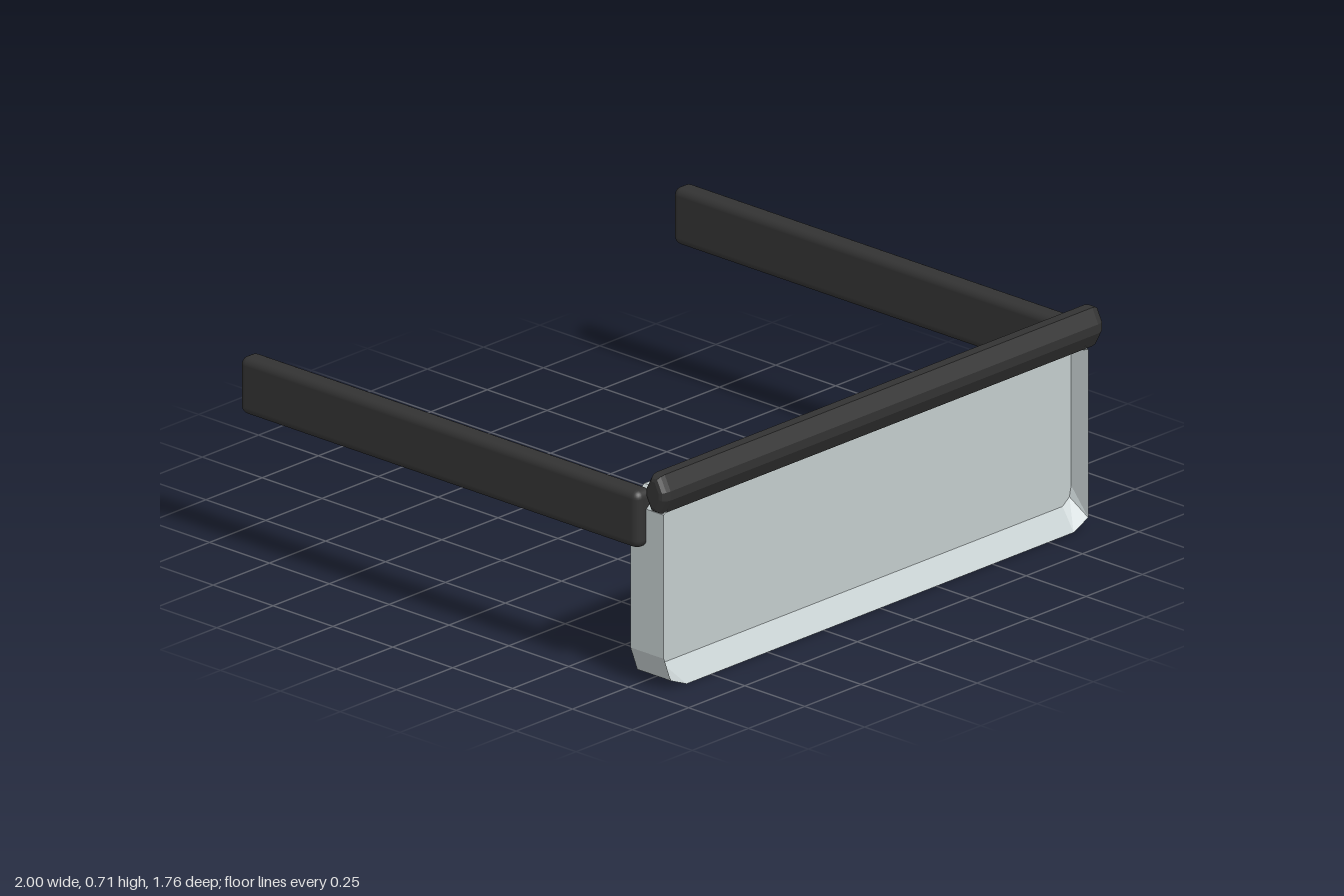
import * as THREE from 'three';
import { RoundedBoxGeometry } from 'three/addons/geometries/RoundedBoxGeometry.js';

// Flat-faced strip joining two closed loops of [x, y] points at two depths
function strip(a, za, b, zb) {
  const pos = [];
  a.forEach((p, i) => {
    const j = (i + 1) % a.length;
    const p0 = [...p, za], p1 = [...a[j], za];
    const q0 = [...b[i], zb], q1 = [...b[j], zb];
    pos.push(...p0, ...p1, ...q1, ...p0, ...q1, ...q0);
  });
  const g = new THREE.BufferGeometry();
  g.setAttribute('position', new THREE.Float32BufferAttribute(pos, 3));
  g.computeVertexNormals();
  return g;
}

export function createModel() {
  const model = new THREE.Group();
  model.name = 'visorGlasses';

  const frameMat = new THREE.MeshStandardMaterial({ color: 0x333333 });
  frameMat.name = 'charcoal frame';
  const lensMat = new THREE.MeshStandardMaterial({ color: 0xc3cccd, side: THREE.DoubleSide });
  lensMat.name = 'pale grey lens';

  function add(parent, name, geometry, material) {
    const mesh = new THREE.Mesh(geometry, material);
    mesh.name = name;
    parent.add(mesh);
    return mesh;
  }

  // Side arms
  for (const [name, side] of [['leftArm', 1], ['rightArm', -1]]) {
    const arm = add(model, name, new RoundedBoxGeometry(0.075, 0.187, 1.665, 3, 0.026), frameMat);
    arm.position.set(side * 0.9625, 0.548, -0.047);
  }

  // Brow bar: faceted section with bevelled ends, extruded along x
  const quarter = [[0.022, 0.01], [0.022, -0.01], [0.005, -0.043], [-0.005, -0.043],
    [-0.022, -0.01], [-0.022, 0.01], [-0.005, 0.043], [0.005, 0.043]];
  const section = new THREE.Shape(quarter.map(([x, y]) => new THREE.Vector2(x, y)));
  const barGeo = new THREE.ExtrudeGeometry(section, {
    depth: 1.9, bevelEnabled: true, bevelSize: 0.02, bevelThickness: 0.032, bevelSegments: 3,
  });
  barGeo.translate(0, 0, -0.95);
  barGeo.rotateY(Math.PI / 2);
  add(model, 'browBar', barGeo, frameMat).position.set(0, 0.645, 0.836);

  // Lens: chamfered rim with bezels sloping in to a recessed pane
  const outer = [[-0.96, 0.11], [-0.93, 0.03], [-0.86, 0], [0.86, 0], [0.925, 0.03],
    [0.925, 0.11], [0.925, 0.58], [0.88, 0.63], [-0.9, 0.63], [-0.96, 0.58]];
  const inner = [[-0.93, 0.12], [-0.925, 0.085], [-0.9, 0.062], [0.88, 0.062], [0.91, 0.085],
    [0.918, 0.12], [0.918, 0.56], [0.88, 0.595], [-0.89, 0.595], [-0.93, 0.56]];
  const front = 0.86, middle = 0.795, back = 0.72;
  const lens = new THREE.Group();
  lens.name = 'lens';
  model.add(lens);
  add(lens, 'lensRim', strip(outer, back, outer, front), lensMat);
  add(lens, 'frontBezel', strip(outer, front, inner, middle), lensMat);
  add(lens, 'backBezel', strip(inner, middle, outer, back), lensMat);
  const pane = new THREE.Shape(inner.map(([x, y]) => new THREE.Vector2(x, y)));
  add(lens, 'lensPane', new THREE.ShapeGeometry(pane), lensMat).position.z = middle;

  return model;
}
